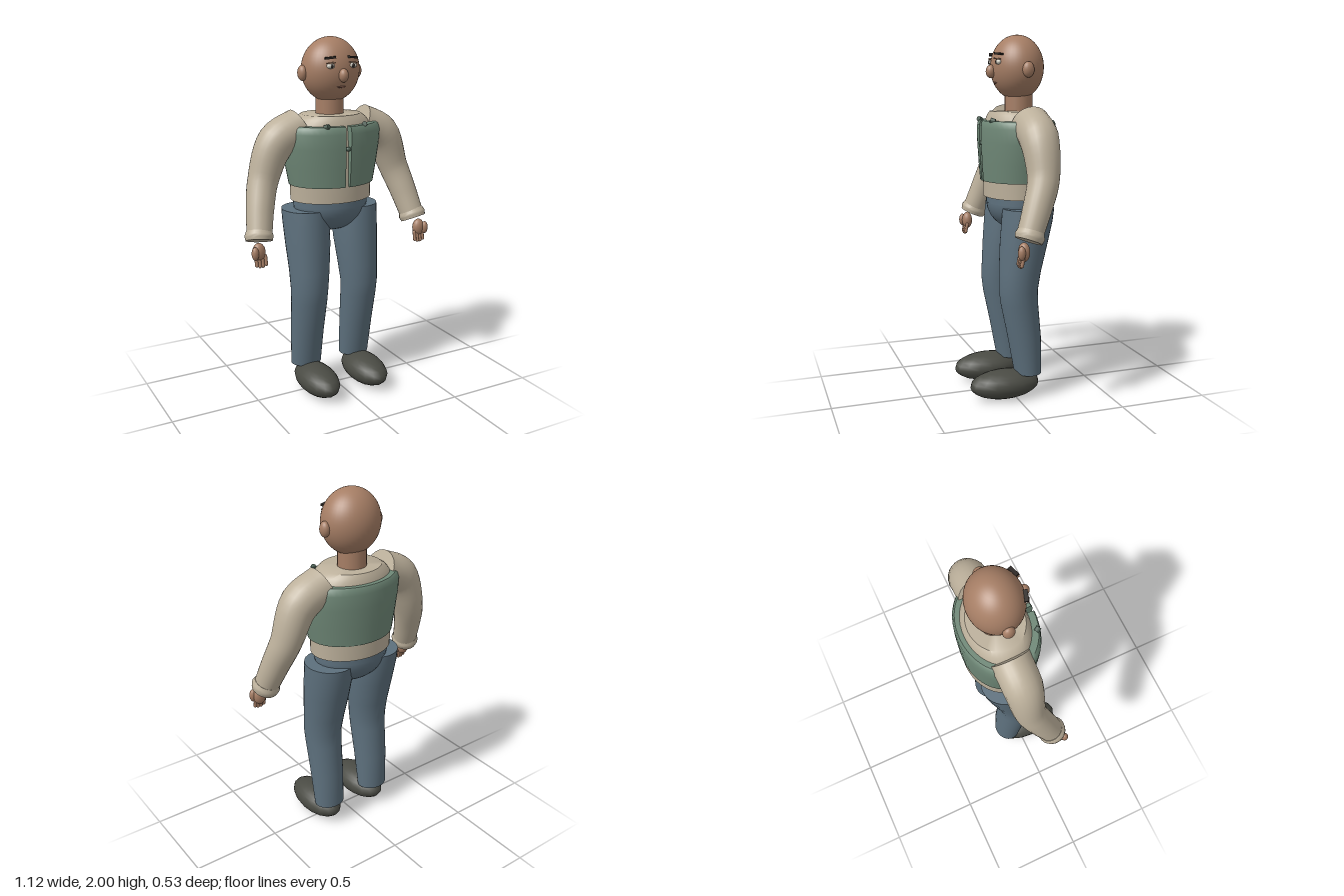
import * as THREE from 'three';
import { toCreasedNormals } from 'three/addons/utils/BufferGeometryUtils.js';

const mat = (name, color) => Object.assign(new THREE.MeshStandardMaterial({ color }), { name });
const V = (x, y, z) => new THREE.Vector3(x, y, z);

// Closed skin over a list of rings of points, with flat ends
function loft(rings) {
  const pos = [], idx = [], m = rings[0].length, last = rings.length - 1;
  rings.forEach(r => r.forEach(p => pos.push(p.x, p.y, p.z)));
  for (let i = 0; i < last; i++) for (let j = 0; j < m; j++) {
    const k = (j + 1) % m, a = i * m + j, b = i * m + k;
    idx.push(a, b, b + m, a, b + m, a + m);
  }
  for (const i of [0, last]) {
    const c = rings[i].reduce((s, p) => s.add(p), V(0, 0, 0)).divideScalar(m);
    const centre = pos.length / 3;
    pos.push(c.x, c.y, c.z);
    for (let j = 0; j < m; j++) {
      const a = i * m + j, b = i * m + (j + 1) % m;
      if (i === 0) idx.push(centre, b, a); else idx.push(centre, a, b);
    }
  }
  const g = new THREE.BufferGeometry();
  g.setAttribute('position', new THREE.Float32BufferAttribute(pos, 3));
  g.setIndex(idx);
  return toCreasedNormals(g, 0.7);
}

// Level ellipse ring
const ellipse = (x, y, z, rx, rz, n = 32) => Array.from({ length: n }, (_, j) => {
  const a = j / n * Math.PI * 2;
  return V(x + rx * Math.sin(a), y, z + rz * Math.cos(a));
});

// Round limb along a smooth path, with a radius at each path point
function limb(points, radii, steps = 24, n = 24) {
  const curve = new THREE.CatmullRomCurve3(points), rings = [];
  for (let i = 0; i <= steps; i++) {
    const t = i / steps, f = t * (radii.length - 1), k = Math.min(Math.floor(f), radii.length - 2);
    const r = THREE.MathUtils.lerp(radii[k], radii[k + 1], f - k);
    const c = curve.getPoint(t), T = curve.getTangent(t);
    const u = V(0, 0, 1).addScaledVector(T, -T.z).normalize(), w = T.clone().cross(u);
    rings.push(Array.from({ length: n }, (_, j) => {
      const a = j / n * Math.PI * 2;
      return c.clone().addScaledVector(u, r * Math.cos(a)).addScaledVector(w, r * Math.sin(a));
    }));
  }
  return loft(rings);
}

export function createModel() {
  const skin = mat('skin', 0xa67e65), shirt = mat('shirt', 0xbcb09b), vest = mat('vest', 0x6f8877),
    jeans = mat('jeans', 0x5d707d), shoe = mat('shoe', 0x4a4b44), white = mat('eyeWhite', 0xd8d4c8),
    dark = mat('dark', 0x2b2623), button = mat('button', 0x4c6054), lip = mat('lip', 0x7d5648);
  const model = new THREE.Group();
  const add = (name, geo, material, x = 0, y = 0, z = 0) => {
    const m = new THREE.Mesh(geo, material);
    m.name = name;
    m.position.set(x, y, z);
    model.add(m);
    return m;
  };
  const ball = (name, material, x, y, z, rx, ry, rz, w = 20, h = 14) =>
    add(name, new THREE.SphereGeometry(1, w, h).scale(rx, ry, rz), material, x, y, z);

  // Head and neck
  ball('head', skin, 0, 1.825, -0.065, 0.163, 0.175, 0.145, 40, 28);
  ball('nose', skin, 0, 1.803, 0.085, 0.026, 0.036, 0.028);
  add('neck', new THREE.CylinderGeometry(0.078, 0.078, 0.14, 20), skin, 0, 1.64, -0.075);
  ball('mouth', lip, 0, 1.742, 0.061, 0.028, 0.005, 0.005);

  // Shirt body
  const shirtRows = [[1.12, 0.235, 0.183], [1.21, 0.236, 0.184], [1.42, 0.25, 0.184], [1.53, 0.235, 0.172],
    [1.57, 0.2, 0.16], [1.59, 0.17, 0.148]];
  add('shirtBody', loft(shirtRows.map(([y, rx, rz]) => ellipse(0, y, -0.065, rx, rz, 40))), shirt);

  // Vest, a thick band open down the front
  const vestRows = [[1.54, 0.262, 0.198], [1.53, 0.277, 0.204], [1.5, 0.288, 0.208], [1.42, 0.283, 0.207],
    [1.31, 0.265, 0.202], [1.21, 0.246, 0.195], [1.21, 0.225, 0.178], [1.54, 0.22, 0.16]];
  const vestRings = [];
  for (let i = 0; i <= 48; i++) {
    const a = 0.055 + (Math.PI * 2 - 0.11) * i / 48;
    vestRings.push(vestRows.map(([y, rx, rz]) => V(rx * Math.sin(a), y, -0.06 + rz * Math.cos(a))));
  }
  add('vest', loft(vestRings), vest);
  ball('frontButton', button, 0, 1.42, 0.14, 0.016, 0.012, 0.012, 10, 8);

  // Hips and waistband
  add('hips', new THREE.SphereGeometry(1, 32, 12, 0, Math.PI * 2, Math.PI / 2, Math.PI / 2)
    .scale(0.217, 0.16, 0.168), jeans, 0, 1.09, -0.068);
  add('waistband', loft([1.085, 1.13].map(y => ellipse(0, y, -0.068, 0.217, 0.17))), jeans);

  for (const s of [1, -1]) {
    // Face and ears
    ball('ear', skin, 0.166 * s, 1.812, -0.07, 0.026, 0.042, 0.032);
    ball('eye', white, 0.066 * s, 1.853, 0.064, 0.024, 0.014, 0.014);
    ball('pupil', dark, 0.064 * s, 1.853, 0.074, 0.01, 0.011, 0.007, 12, 8);
    const lid = add('eyelid', new THREE.BoxGeometry(0.05, 0.006, 0.012), skin, 0.066 * s, 1.869, 0.07);
    const brow = add('eyebrow', new THREE.BoxGeometry(0.058, 0.011, 0.02), dark, 0.067 * s, 1.895, 0.062);
    for (const m of [lid, brow]) m.rotation.set(0, 0.3 * s, -0.1 * s);

    // Sleeve, cuff
    add('sleeve', limb([V(0.185 * s, 1.525, -0.075), V(0.325 * s, 1.455, -0.07), V(0.41 * s, 1.26, -0.062),
      V(0.452 * s, 1.12, -0.015), V(0.482 * s, 0.985, 0.038)], [0.106, 0.104, 0.084, 0.076, 0.068]), shirt);
    add('cuff', limb([V(0.48 * s, 1.005, 0.03), V(0.485 * s, 0.98, 0.039), V(0.489 * s, 0.957, 0.048)],
      [0.069, 0.078, 0.072], 6), shirt);

    // Hand with thumb and four fingers
    ball('palm', skin, 0.505 * s, 0.905, 0.078, 0.036, 0.05, 0.03);
    ball('thumb', skin, 0.534 * s, 0.905, 0.1, 0.02, 0.036, 0.02, 14, 10);
    for (let f = 0; f < 4; f++) {
      const finger = add('finger', new THREE.CapsuleGeometry(0.0095, 0.045, 4, 10), skin,
        (0.472 + f * 0.018) * s, f === 0 || f === 3 ? 0.86 : 0.853, 0.092);
      finger.rotation.x = -0.2;
    }

    // Vest shoulder clip
    const clip = add('vestClip', new THREE.CylinderGeometry(0.014, 0.014, 0.026, 10), button, 0.115 * s, 1.542, 0.112);
    clip.rotation.set(1.2, 0, 0.5 * s);

    // Trouser leg: x, y, z, half width, half depth
    const legRows = [[0.153, 1.07, -0.078, 0.132, 0.142], [0.153, 1.0, -0.07, 0.131, 0.141],
      [0.153, 0.87, -0.05, 0.126, 0.131], [0.156, 0.72, -0.028, 0.114, 0.116], [0.16, 0.62, -0.018, 0.107, 0.108],
      [0.16, 0.54, -0.024, 0.103, 0.104], [0.16, 0.35, -0.053, 0.096, 0.093], [0.159, 0.14, -0.075, 0.089, 0.075]];
    add('trouserLeg', loft(legRows.reverse().map(([x, y, z, rx, rz]) => ellipse(x * s, y, z, rx, rz))), jeans);

    // Shoe
    ball('shoe', shoe, 0.157 * s, 0.083, 0.06, 0.107, 0.081, 0.2, 16, 12);
  }
  return model;
}
